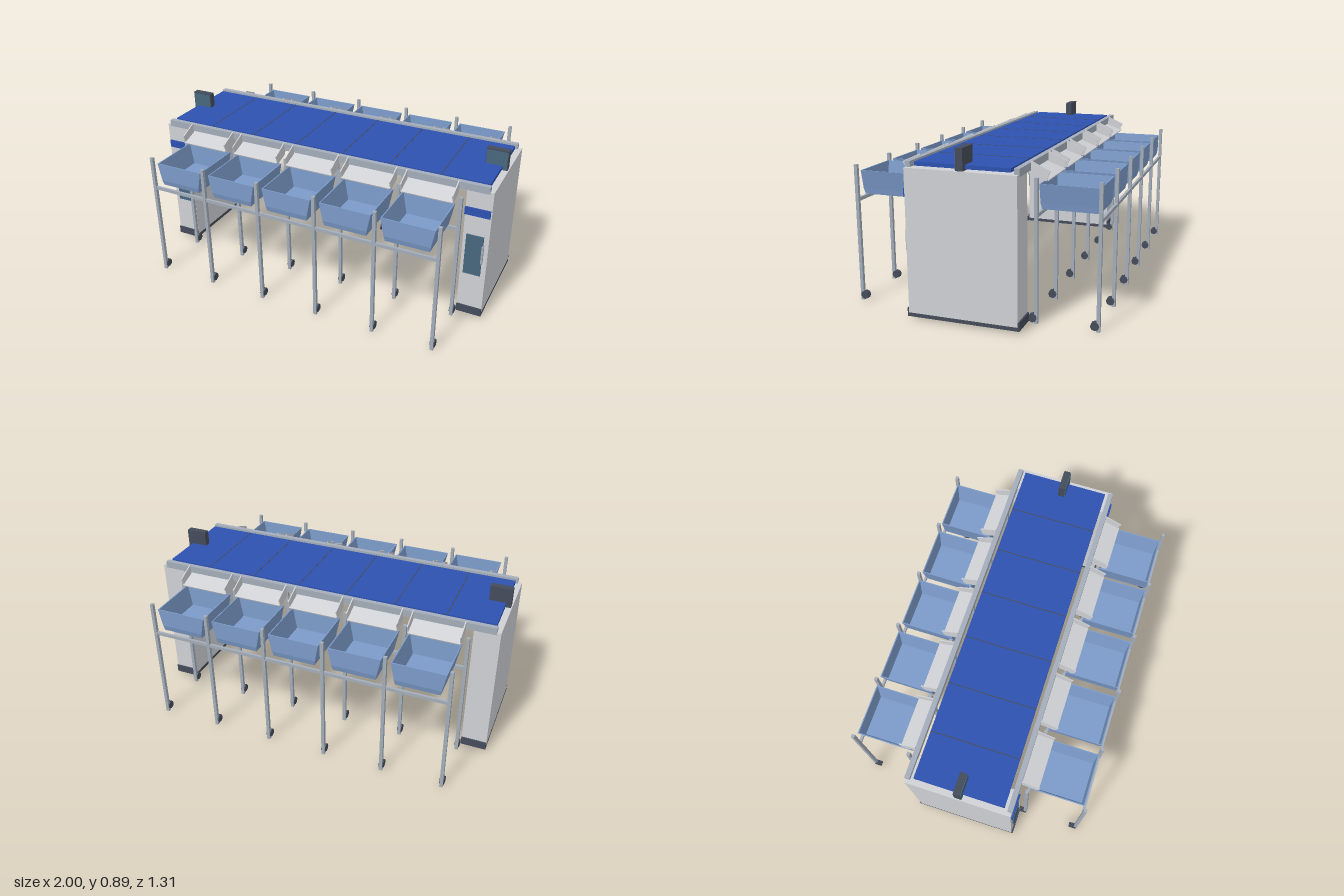
import * as THREE from 'three';

const mat = (name, color) => {
  const m = new THREE.MeshStandardMaterial({ color });
  m.name = name;
  return m;
};

export function createModel() {
  const panel = mat('light grey panel', 0xd0d1d5);
  const steel = mat('steel grey', 0xa3adb9);
  const dark = mat('dark grey', 0x444b5a);
  const blue = mat('belt blue', 0x2d51b0);
  const binBlue = mat('bin blue', 0x7b9ac8);
  const glass = mat('teal glass', 0x47677d);

  const add = (parent, name, geometry, material) => {
    const mesh = new THREE.Mesh(geometry, material);
    mesh.name = name;
    parent.add(mesh);
    return mesh;
  };
  // Box given by its limits on each axis
  const box = (parent, name, material, [x0, x1], [y0, y1], [z0, z1]) => {
    const mesh = add(parent, name, new THREE.BoxGeometry(x1 - x0, y1 - y0, z1 - z0), material);
    mesh.position.set((x0 + x1) / 2, (y0 + y1) / 2, (z0 + z1) / 2);
    return mesh;
  };
  // Profile of [z, y] points extruded along x, centred on x
  const sideProfile = (points, width) => {
    const shape = new THREE.Shape(points.map(([z, y]) => new THREE.Vector2(z, y)));
    return new THREE.ExtrudeGeometry(shape, { depth: width, bevelEnabled: false })
      .translate(0, 0, -width / 2).rotateY(-Math.PI / 2);
  };
  // Rectangular rings [y, halfX, halfZ] joined from the outer bottom to the inner floor
  const tubGeometry = (rings) => {
    const pos = [];
    const corner = ([y, hx, hz], k) => [
      [-hx, y, hz], [hx, y, hz], [hx, y, -hz], [-hx, y, -hz]][k % 4];
    const quad = (a, b, c, d) => pos.push(...a, ...b, ...c, ...a, ...c, ...d);
    for (let i = 0; i < rings.length - 1; i++) {
      for (let k = 0; k < 4; k++) {
        quad(corner(rings[i], k), corner(rings[i], k + 1), corner(rings[i + 1], k + 1), corner(rings[i + 1], k));
      }
    }
    const first = rings[0], last = rings[rings.length - 1];
    quad(corner(first, 3), corner(first, 2), corner(first, 1), corner(first, 0));
    quad(corner(last, 0), corner(last, 1), corner(last, 2), corner(last, 3));
    const g = new THREE.BufferGeometry();
    g.setAttribute('position', new THREE.Float32BufferAttribute(pos, 3));
    g.computeVertexNormals();
    return g;
  };

  const model = new THREE.Group();
  model.name = 'sortingConveyor';

  // End cabinets with plinth, stripe, glazed door and monitor
  for (const s of [-1, 1]) {
    const cabinet = new THREE.Group();
    cabinet.name = s > 0 ? 'leftCabinet' : 'rightCabinet';
    cabinet.position.x = s * 0.93;
    model.add(cabinet);
    box(cabinet, 'cabinetBody', panel, [-0.07, 0.07], [0.035, 0.778], [-0.29, 0.29]);
    box(cabinet, 'plinth', dark, [-0.07, 0.07], [0.015, 0.035], [-0.29, 0.29]);
    box(cabinet, 'frontKickPlate', dark, [-0.07, 0.07], [0.015, 0.06], [0.29, 0.298]);
    box(cabinet, 'backKickPlate', dark, [-0.07, 0.07], [0.015, 0.06], [-0.298, -0.29]);
    const off = s > 0 ? -0.004 : 0.004;
    box(cabinet, 'stripe', blue, [-0.068 + off, 0.068 + off], [0.63, 0.674], [0.29, 0.299]);
    box(cabinet, 'doorWindow', glass, [-0.047 + off, 0.047 + off], [0.273, 0.513], [0.29, 0.299]);
    box(cabinet, 'doorHandle', steel, [0.042 + off, 0.052 + off], [0.355, 0.462], [0.29, 0.305]);
    box(cabinet, 'monitor', dark, [-0.06 - off, 0.06 - off], [0.778, 0.889], [-0.017, 0.02]);
    box(cabinet, 'monitorScreen', glass, [-0.057 - off, 0.057 - off], [0.782, 0.882], [0.02, 0.024]);
  }

  // Conveyor belt with thin dark seams
  box(model, 'belt', blue, [-0.967, 0.967], [0.784, 0.804], [-0.248, 0.248]);
  for (let i = 0; i < 6; i++) {
    const x = (i - 2.5) * 0.282;
    box(model, 'beltSeam', dark, [x - 0.0025, x + 0.0025], [0.803, 0.805], [-0.248, 0.248]);
  }

  const tub = tubGeometry([
    [0.575, 0.118, 0.144], [0.605, 0.123, 0.151], [0.705, 0.143, 0.151],
    [0.705, 0.137, 0.145], [0.585, 0.113, 0.138]]);
  const chuteFloor = sideProfile([[0.28, 0.757], [0.383, 0.722], [0.386, 0.729], [0.28, 0.764]], 0.28);
  const chuteWall = sideProfile([[0.293, 0.744], [0.372, 0.72], [0.392, 0.77], [0.293, 0.815]], 0.006);
  const wheel = new THREE.CylinderGeometry(0.023, 0.023, 0.01, 8).rotateZ(Math.PI / 2).toNonIndexed();
  wheel.computeVertexNormals();

  // One loading side: guide rail, chutes, bins and wheeled rack
  const makeSide = (name) => {
    const side = new THREE.Group();
    side.name = name;
    model.add(side);
    box(side, 'guideRail', steel, [-0.978, 0.978], [0.768, 0.807], [0.266, 0.294]);
    for (let i = -2; i <= 2; i++) {
      const x = i * 0.338;
      add(side, 'bin', tub, binBlue).position.set(x, 0, 0.488);
      add(side, 'chuteFloor', chuteFloor, panel).position.x = x;
      for (const s of [-1, 1]) add(side, 'chuteWall', chuteWall, panel).position.x = x + s * 0.14;
    }
    for (const z of [0.331, 0.648]) {
      box(side, 'rackRail', steel, [-0.853, 0.853], [0.545, 0.563], [z - 0.007, z + 0.007]);
      for (let i = 0; i < 6; i++) {
        const x = (i - 2.5) * 0.338;
        box(side, 'rackPost', steel, [x - 0.009, x + 0.009], [0, 0.74], [z - 0.009, z + 0.009]);
        for (const s of [-1, 1]) {
          add(side, 'casterWheel', wheel, dark).position.set(x + s * 0.0075, 0.03, z - 0.017);
        }
      }
    }
    return side;
  };
  makeSide('frontSide');
  makeSide('backSide').rotation.y = Math.PI;

  return model;
}
